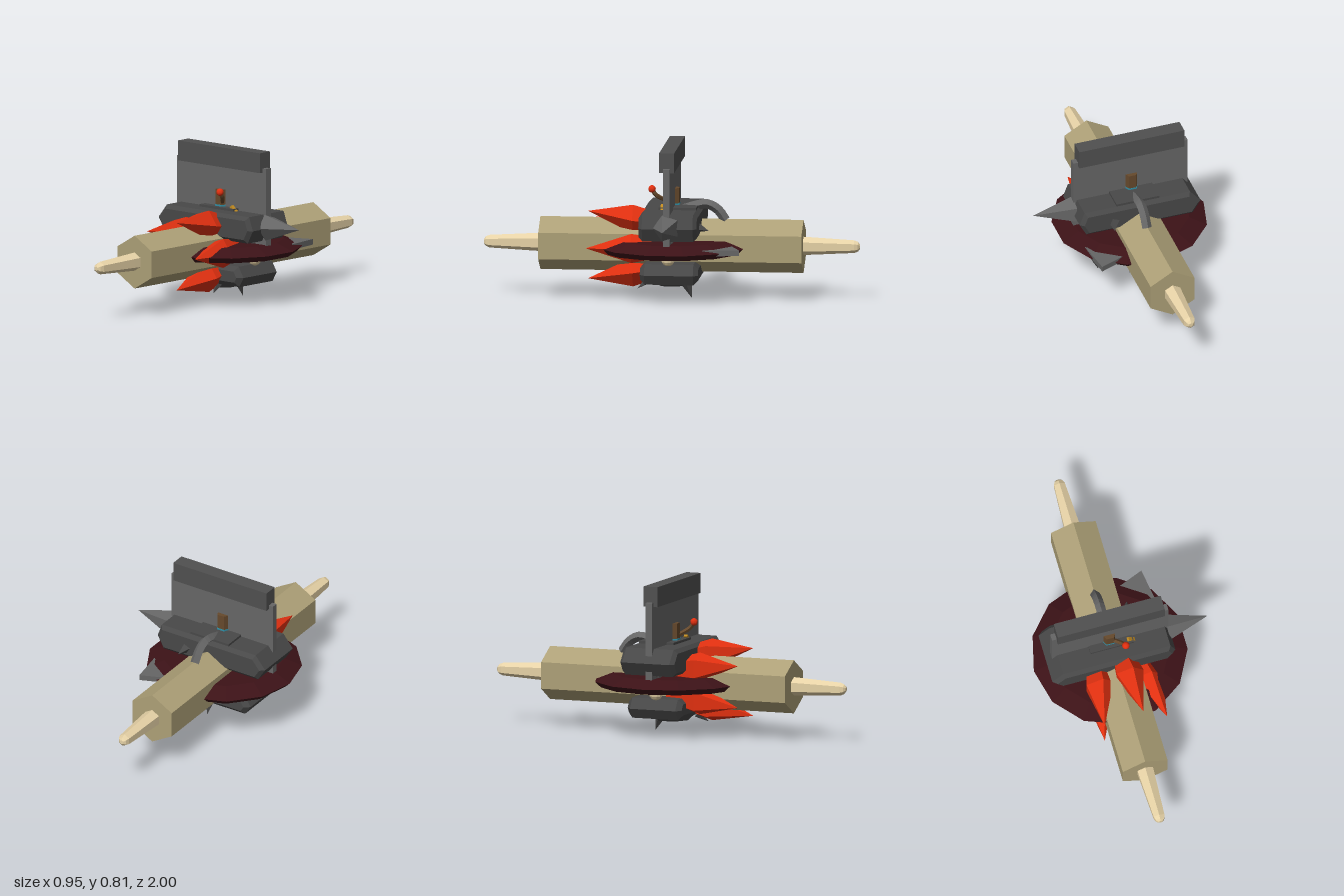
import * as THREE from 'three';

const CX = -0.065, CY = 0.28;
const mat = (color) => new THREE.MeshStandardMaterial({ color, flatShading: true, side: THREE.DoubleSide });
const V2 = (list) => list.map(([x, y]) => new THREE.Vector2(x, y));
const V3 = (list) => list.map((p) => new THREE.Vector3(...p));

export function createModel() {
  const model = new THREE.Group();
  const iron = mat(0x484848), steel = mat(0x666666), tan = mat(0xada077), cream = mat(0xe6d2a6);
  const red = mat(0xe03010), maroon = mat(0x3c1217), brown = mat(0x66492c);

  const add = (name, geometry, material, x = 0, y = 0, z = 0) => {
    const mesh = new THREE.Mesh(geometry, material);
    mesh.name = name;
    mesh.position.set(x, y, z);
    model.add(mesh);
    return mesh;
  };
  // Pointed cone running from a base centre to a tip
  const spike = (name, base, tip, radius, sides, material) => {
    const [a, b] = V3([base, tip]);
    const dir = b.clone().sub(a);
    const g = new THREE.ConeGeometry(radius, dir.length(), sides);
    const mesh = add(name, g, material);
    mesh.position.copy(a).add(b).multiplyScalar(0.5);
    mesh.quaternion.setFromUnitVectors(new THREE.Vector3(0, 1, 0), dir.normalize());
    return mesh;
  };
  // Hull block: front outline extruded in depth, with chamfered edges
  const block = (name, outline, bevel) => {
    const g = new THREE.ExtrudeGeometry(new THREE.Shape(V2(outline)), {
      depth: 0.31 - 2 * bevel, bevelSize: bevel, bevelThickness: bevel, bevelOffset: -bevel, bevelSegments: 1,
    });
    return add(name, g, iron, 0, 0, -0.16 + bevel);
  };

  // Hexagonal roller with a tapered handle at each end
  add('roller', new THREE.CylinderGeometry(0.142, 0.142, 1.4, 6).rotateX(Math.PI / 2), tan, CX, CY, 0);
  const handleProfile = V2([[0.05, 0.68], [0.047, 0.74], [0.034, 0.97], [0.026, 0.99], [0.012, 1], [0, 1]]);
  for (const s of [1, -1]) {
    const g = new THREE.LatheGeometry(handleProfile, 6).rotateX(s * Math.PI / 2);
    add(s > 0 ? 'frontHandle' : 'backHandle', g, cream, CX, CY + 0.003, 0);
  }

  // Thin thirteen-sided disc
  const discProfile = V2([[0, 0.25], [0.385, 0.25], [0.415, 0.28], [0.32, 0.32], [0, 0.32]]);
  add('disc', new THREE.LatheGeometry(discProfile, 13).rotateY(-Math.PI / 2), maroon, CX, 0, 0);

  // Upper and lower hull blocks
  block('upperBlock', [[-0.37, 0.34], [0.225, 0.34], [0.262, 0.41], [0.235, 0.483], [-0.355, 0.483], [-0.415, 0.41]], 0.02);
  block('lowerBlock', [[-0.285, 0.098], [0.16, 0.098], [0.19, 0.15], [0.155, 0.207], [-0.285, 0.207], [-0.32, 0.15]], 0.025);
  add('topHump', new THREE.BoxGeometry(0.24, 0.015, 0.2), iron, CX, 0.488, -0.04);
  add('belly', new THREE.CylinderGeometry(0.13, 0.09, 0.035, 6), iron, CX, 0.085, 0);

  // Bearing balls between the disc and the blocks
  for (const x of [-0.285, 0.155]) {
    add('lowerBall', new THREE.SphereGeometry(0.037, 12, 8), cream, x, 0.235, 0);
    add('upperBall', new THREE.SphereGeometry(0.03, 12, 8), steel, x, 0.335, 0);
  }

  // Upright panel and its capping bar
  add('panel', new THREE.BoxGeometry(0.64, 0.42, 0.036), steel, CX, 0.52, 0);
  add('panelCap', new THREE.BoxGeometry(0.588, 0.107, 0.08), mat(0x505050), CX, 0.761, 0);

  // Five crystals ringed around the roller, leaning outward toward their tips
  const rings = [[0, 0.02], [0.05, 0.02], [0.082, 0.2], [0, 0.44]];
  for (let i = 0; i < 5; i++) {
    const g = new THREE.LatheGeometry(V2(rings), 5).rotateX(Math.PI / 2).rotateZ(Math.PI);
    const p = g.attributes.position;
    for (let k = 0; k < p.count; k++) {
      const z = p.getZ(k);
      p.setY(k, p.getY(k) + (z < 0.1 ? 0.12 : z < 0.3 ? 0.148 : 0.19));
    }
    const crystal = add('crystal', g, red, -0.06, 0.283, 0);
    crystal.rotation.z = i * Math.PI * 0.4 - Math.PI / 2;
  }

  // Spikes and fin
  spike('sideSpike', [0.25, 0.415, 0], [0.475, 0.425, 0], 0.073, 5, steel);
  spike('bottomSpike', [-0.03, 0.11, -0.07], [-0.03, 0, -0.11], 0.04, 4, iron);
  spike('smallSpike', [0.0, 0.1, 0.12], [0.02, 0.055, 0.175], 0.025, 4, iron);
  spike('backSpike', [0.07, 0.4, -0.14], [0.09, 0.38, -0.21], 0.035, 4, iron);
  const fin = new THREE.Shape(V2([[0.08, 0.33], [0.22, 0.385], [0.25, 0.19]]));
  add('fin', new THREE.ExtrudeGeometry(fin, { depth: 0.03, bevelEnabled: false }).rotateX(-Math.PI / 2), steel, 0, 0.268, 0);

  // Curved square-section hook at the back
  const hookPath = new THREE.CatmullRomCurve3(V3([
    [CX, 0.47, -0.06], [CX, 0.492, -0.13], [CX, 0.5, -0.19], [CX, 0.47, -0.245], [CX, 0.415, -0.285],
  ]));
  add('hook', new THREE.TubeGeometry(hookPath, 12, 0.026, 4), steel);

  // Stack with a blue band
  add('stack', new THREE.CylinderGeometry(0.046, 0.046, 0.1, 6).rotateY(Math.PI / 6).scale(0.9, 1, 1), brown, -0.07, 0.535, 0);
  add('stackBand', new THREE.CylinderGeometry(0.048, 0.048, 0.012, 6).rotateY(Math.PI / 6).scale(0.9, 1, 1), mat(0x3090a8), -0.07, 0.498, 0);

  // Lever with a round knob
  const leverPath = new THREE.CatmullRomCurve3(V3([[-0.05, 0.52, 0.03], [-0.025, 0.535, 0.055], [-0.005, 0.555, 0.08], [-0.002, 0.585, 0.1]]));
  add('lever', new THREE.TubeGeometry(leverPath, 8, 0.012, 5), brown);
  add('leverKnob', new THREE.SphereGeometry(0.02, 14, 10), red, -0.002, 0.586, 0.1);
  const tag = add('peg', new THREE.BoxGeometry(0.05, 0.014, 0.02), mat(0xc08a20), 0.045, 0.49, 0.04);
  tag.rotation.z = -0.7;

  return model;
}
